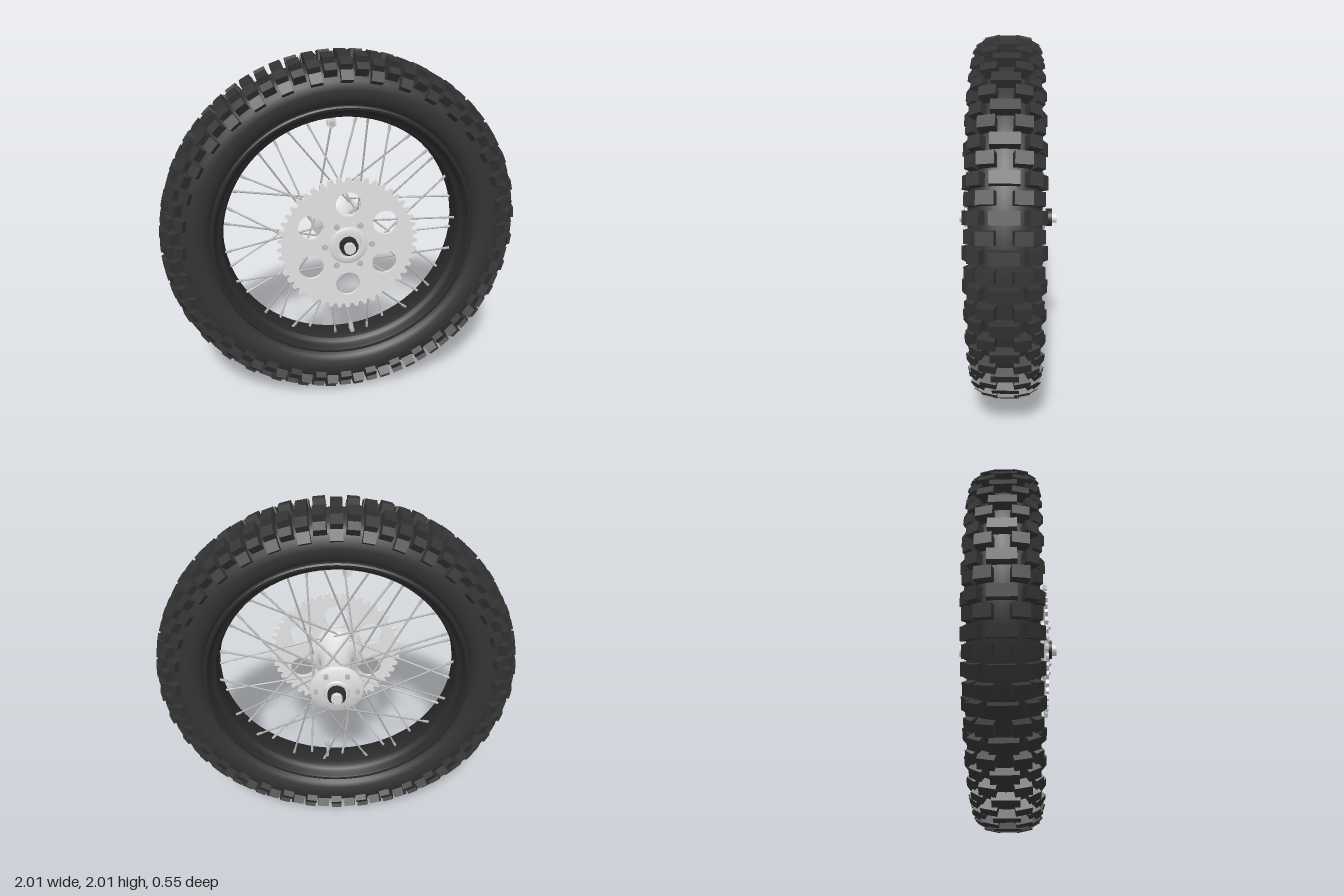
import * as THREE from 'three';
import { mergeGeometries, toCreasedNormals } from 'three/addons/utils/BufferGeometryUtils.js';

const mat = (name, color) => {
  const m = new THREE.MeshStandardMaterial({ color });
  m.name = name;
  return m;
};
const TAU = Math.PI * 2;

export function createModel() {
  const rubber = mat('tyre rubber', 0x333333);
  const rimBlack = mat('rim black', 0x2a2a2a);
  const alloy = mat('hub alloy', 0xdcdcdc);
  const plate = mat('sprocket metal', 0xe2e2e2);
  const steel = mat('spoke steel', 0xbababa);
  const seal = mat('seal black', 0x2c2c2c);

  const root = new THREE.Group();
  root.name = 'wheel';
  const wheel = new THREE.Group();
  wheel.name = 'wheelAssembly';
  wheel.position.y = 1;
  root.add(wheel);

  const add = (name, geo, material) => {
    const m = new THREE.Mesh(geo, material);
    m.name = name;
    wheel.add(m);
    return m;
  };
  // Revolve [radius, z] points around the wheel axis
  const lathe = (pts, seg) => toCreasedNormals(
    new THREE.LatheGeometry(pts.map(p => new THREE.Vector2(p[0], p[1])), seg).rotateX(Math.PI / 2), 0.6);
  // Cylinder along z between two depths
  const barZ = (r, z0, z1, x = 0, y = 0, seg = 24) => toCreasedNormals(
    new THREE.CylinderGeometry(r, r, z1 - z0, seg).rotateX(Math.PI / 2).translate(x, y, (z0 + z1) / 2), 0.6);
  // Thin rod between two points
  const rod = (a, b, r, seg = 6) => {
    const d = b.clone().sub(a);
    const q = new THREE.Quaternion().setFromUnitVectors(new THREE.Vector3(0, 1, 0), d.clone().normalize());
    return new THREE.CylinderGeometry(r, r, d.length(), seg)
      .applyQuaternion(q).translate(...a.clone().add(b).multiplyScalar(0.5).toArray());
  };

  // Tyre casing
  const half = [[0.957, 0], [0.953, 0.05], [0.938, 0.095], [0.908, 0.135], [0.87, 0.158],
    [0.825, 0.166], [0.785, 0.158], [0.76, 0.146], [0.748, 0.132], [0.74, 0.115]];
  const mirrored = half.slice(1).reverse().map(([r, z]) => [r, -z]);
  add('tyreCasing', lathe([...mirrored, ...half], 144), rubber);

  // Tread knobs: tapered blocks, two alternating rows
  const knob = (w, h, d, r, z, tilt, angle) => {
    const g = new THREE.BoxGeometry(w, h, d).translate(0, h / 2, 0);
    const p = g.attributes.position;
    for (let i = 0; i < p.count; i++) {
      if (p.getY(i) > 0) p.setXYZ(i, p.getX(i) * 0.9, p.getY(i), p.getZ(i) * 0.9);
    }
    const flat = g.toNonIndexed();
    flat.computeVertexNormals();
    return flat.rotateX(tilt).translate(0, r, z).rotateZ(angle);
  };
  const knobs = [];
  const steps = 72;
  for (let i = 0; i < steps; i++) {
    const a = (i / steps) * TAU;
    const even = i % 2 === 0;
    if (even) knobs.push(knob(0.066, 0.065, 0.15, 0.935, 0, 0, a));
    for (const s of [-1, 1]) {
      if (even) {
        knobs.push(knob(0.068, 0.06, 0.07, 0.916, s * 0.108, s * 0.5, a));
        knobs.push(knob(0.07, 0.038, 0.062, 0.882, s * 0.142, s * 1.0, a));
      } else {
        knobs.push(knob(0.068, 0.062, 0.09, 0.935, s * 0.072, s * 0.2, a));
        knobs.push(knob(0.068, 0.05, 0.05, 0.908, s * 0.128, s * 0.7, a));
      }
    }
  }
  add('treadKnobs', mergeGeometries(knobs), rubber);

  // Rim with raised lips and a dropped centre
  add('rim', lathe([[0.748, 0.105], [0.74, 0.115], [0.738, 0.132], [0.73, 0.138], [0.718, 0.136], [0.712, 0.125],
    [0.704, 0.1], [0.694, 0.085], [0.675, 0.075], [0.665, 0.05], [0.665, -0.05], [0.675, -0.075], [0.694, -0.085],
    [0.704, -0.1], [0.712, -0.125], [0.718, -0.136], [0.73, -0.138], [0.738, -0.132], [0.74, -0.115],
    [0.748, -0.105]], 96), rimBlack);

  // Hub barrel with two flanges
  add('hub', lathe([[0, -0.212], [0.065, -0.212], [0.072, -0.2], [0.14, -0.19], [0.15, -0.182], [0.15, -0.165],
    [0.115, -0.145], [0.088, -0.1], [0.088, 0.09], [0.11, 0.14], [0.16, 0.165], [0.16, 0.203],
    [0.106, 0.203], [0.106, 0.222], [0.096, 0.228], [0.072, 0.228], [0.07, 0.218], [0, 0.218]], 48), alloy);
  for (const s of [-1, 1]) {
    const span = (r, a, b, seg) => barZ(r, Math.min(s * a, s * b), Math.max(s * a, s * b), 0, 0, seg);
    add('axleSeal', span(0.05, 0.2, 0.25), seal);
    add('axleEnd', span(0.031, 0.2, 0.277, 16), alloy);
  }

  // Sprocket with toothed edge and six round windows
  const teeth = 48;
  const outline = [];
  for (let i = 0; i < teeth; i++) {
    for (const [f, r] of [[-0.36, 0.36], [-0.16, 0.385], [0.16, 0.385], [0.36, 0.36]]) {
      const a = ((i + f) / teeth) * TAU;
      outline.push(new THREE.Vector2(Math.cos(a) * r, Math.sin(a) * r));
    }
  }
  const disc = new THREE.Shape(outline);
  const hole = (x, y, r) => disc.holes.push(new THREE.Path().absarc(x, y, r, 0, TAU, true));
  hole(0, 0, 0.1);
  for (let i = 0; i < 6; i++) {
    const a = ((i + 0.5) / 6) * TAU;
    hole(Math.cos(a) * 0.235, Math.sin(a) * 0.235, 0.068);
  }
  add('sprocket', new THREE.ExtrudeGeometry(disc, { depth: 0.016, bevelEnabled: false, curveSegments: 24 })
    .translate(0, 0, 0.203), plate);

  // Flange bolts on both sides
  for (let i = 0; i < 6; i++) {
    const a = (i / 6) * TAU, c = Math.cos(a), s = Math.sin(a);
    add('sprocketBolt', barZ(0.017, 0.215, 0.232, c * 0.13, s * 0.13, 6), steel);
    add('sprocketBoltTip', barZ(0.009, 0.23, 0.243, c * 0.13, s * 0.13, 8), steel);
    add('rearFlangeBolt', barZ(0.015, -0.21, -0.18, c * 0.115, s * 0.115, 6), steel);
  }

  // Crossed spokes with nipples at the rim
  const spokes = [], nipples = [];
  const polar = (r, a, z) => new THREE.Vector3(Math.cos(a) * r, Math.sin(a) * r, z);
  for (let i = 0; i < 36; i++) {
    const side = i % 2 ? -1 : 1;
    const lean = Math.floor(i / 2) % 2 ? -1 : 1;
    const rimAngle = ((i + 0.5) / 36) * TAU - lean * 0.03;
    const hubEnd = polar(0.13, rimAngle + lean * 1.15, side * (lean > 0 ? 0.172 : 0.158));
    const rimEnd = polar(0.672, rimAngle, side * 0.025);
    spokes.push(rod(hubEnd, rimEnd, 0.0055));
    nipples.push(rod(rimEnd.clone().lerp(hubEnd, 0.07), rimEnd, 0.008));
  }
  add('spokes', mergeGeometries(spokes), steel);
  add('spokeNipples', mergeGeometries(nipples), steel);

  // Rim lock at the top, valve at the bottom
  add('rimLockStem', rod(new THREE.Vector3(-0.055, 0.67, 0), new THREE.Vector3(-0.053, 0.625, 0), 0.013, 10), steel);
  add('rimLockNut', barZ(0.028, -0.015, 0.02, -0.053, 0.625, 6), alloy);
  add('rimLockTip', barZ(0.014, 0, 0.045, -0.053, 0.625, 12), steel);
  add('valveBase', rod(new THREE.Vector3(0.056, -0.67, 0), new THREE.Vector3(0.053, -0.622, 0), 0.008, 10), steel);
  add('valveStem', barZ(0.009, 0, 0.06, 0.053, -0.624, 10), steel);
  add('valveCap', barZ(0.014, 0.05, 0.085, 0.053, -0.624, 12), steel);

  return root;
}
